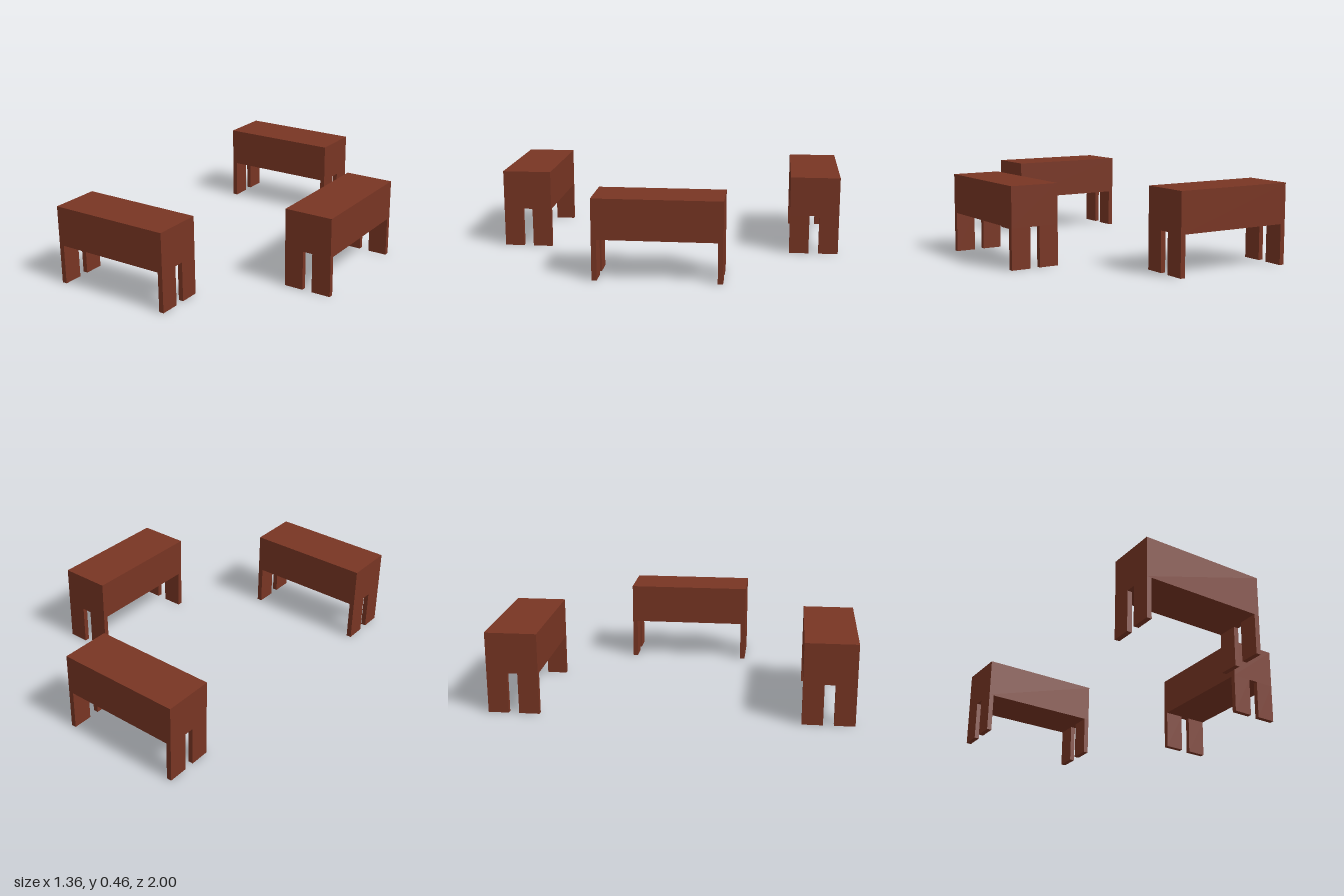
import * as THREE from 'three';

const LENGTH = 0.714, WIDTH = 0.286, HEIGHT = 0.457;
const LEG_H = 0.229, LEG_T = 0.0286, LEG_W = 0.114;

const wood = new THREE.MeshStandardMaterial({ color: 0x783523 });

function box(name, w, h, d, x, y, z) {
  const mesh = new THREE.Mesh(new THREE.BoxGeometry(w, h, d), wood);
  mesh.name = name;
  mesh.position.set(x, y, z);
  return mesh;
}

// One bench, long along x: a thick solid seat on four flat corner legs
function createBench(name) {
  const bench = new THREE.Group();
  bench.name = name;
  bench.add(box('seat', LENGTH, HEIGHT - LEG_H, WIDTH, 0, (HEIGHT + LEG_H) / 2, 0));
  for (const sx of [-1, 1]) {
    for (const sz of [-1, 1]) {
      const legName = (sz > 0 ? 'front' : 'back') + (sx > 0 ? 'Left' : 'Right') + 'Leg';
      bench.add(box(legName, LEG_T, LEG_H, LEG_W,
        sx * (LENGTH - LEG_T) / 2, LEG_H / 2, sz * (WIDTH - LEG_W) / 2));
    }
  }
  return bench;
}

export function createModel() {
  const model = new THREE.Group();
  model.name = 'benches';

  // Two parallel benches, front and back
  for (const s of [1, -1]) {
    const bench = createBench(s > 0 ? 'frontBench' : 'backBench');
    bench.position.set(-0.321, 0, s * (1 - WIDTH / 2));
    model.add(bench);
  }

  // Third bench, turned across the open end
  const side = createBench('sideBench');
  side.rotation.y = Math.PI / 2;
  side.position.x = 0.535;
  model.add(side);

  return model;
}
